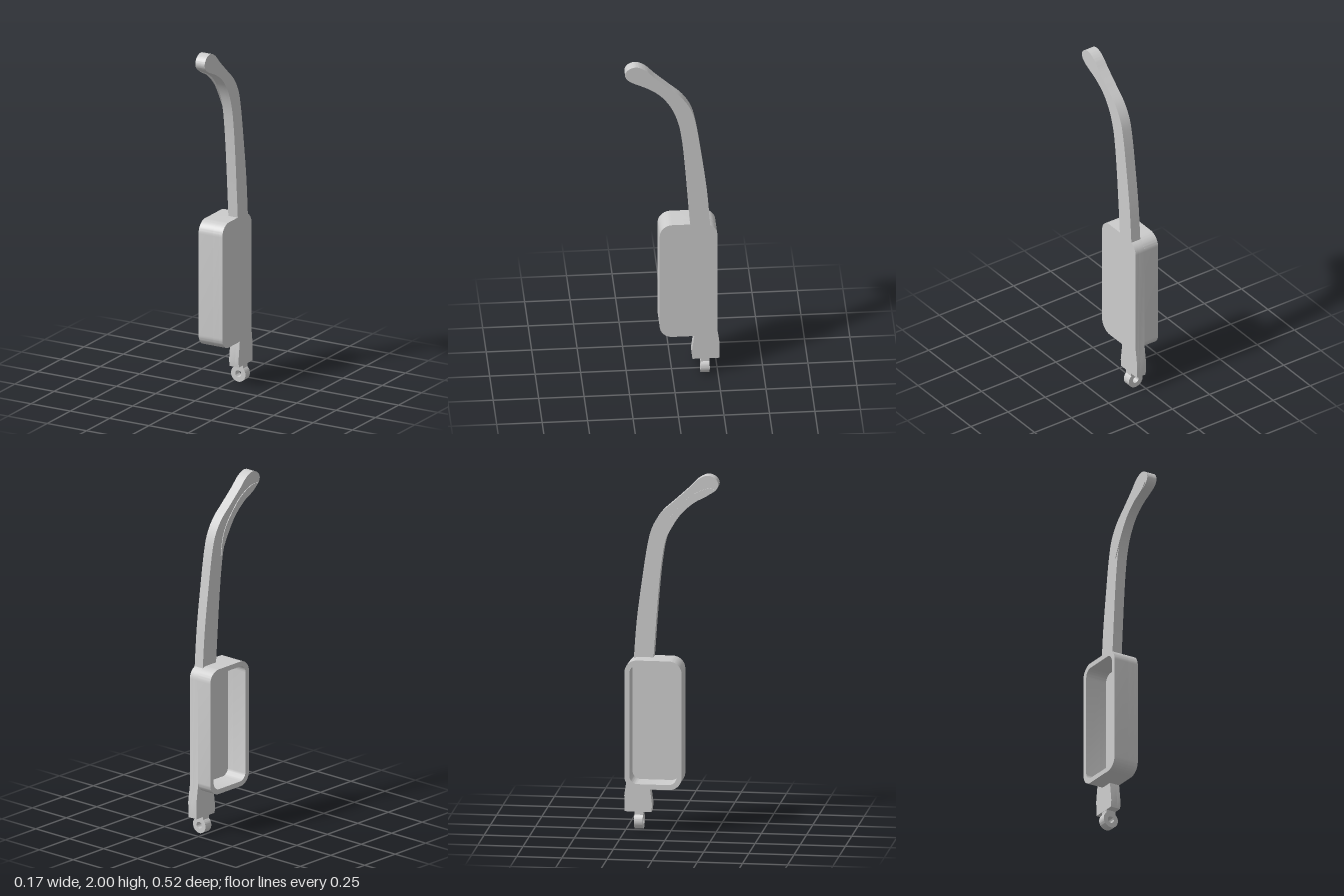
import * as THREE from 'three';
import { toCreasedNormals } from 'three/addons/utils/BufferGeometryUtils.js';

const grey = new THREE.MeshStandardMaterial({ color: 0xcccccc });
grey.name = 'plain grey';

const vec = (pts) => pts.map(([z, y]) => new THREE.Vector2(-z, y));

// Extrudes a side profile, drawn as (-z, y), from x0 to x1
function sidePart(name, shape, x0, x1) {
  const geo = new THREE.ExtrudeGeometry(shape, { depth: x1 - x0, bevelEnabled: false, curveSegments: 8 });
  geo.translate(0, 0, x0);
  geo.rotateY(Math.PI / 2);
  const mesh = new THREE.Mesh(toCreasedNormals(geo, 0.6), grey);
  mesh.name = name;
  return mesh;
}

// Rounded rectangle in (-z, y)
function roundedRect(path, u0, u1, y0, y1, r) {
  path.moveTo(u0 + r, y0);
  path.lineTo(u1 - r, y0);
  path.absarc(u1 - r, y0 + r, r, -Math.PI / 2, 0);
  path.lineTo(u1, y1 - r);
  path.absarc(u1 - r, y1 - r, r, 0, Math.PI / 2);
  path.lineTo(u0 + r, y1);
  path.absarc(u0 + r, y1 - r, r, Math.PI / 2, Math.PI);
  path.lineTo(u0, y0 + r);
  path.absarc(u0 + r, y0 + r, r, Math.PI, Math.PI * 1.5);
  return path;
}

const cavity = () => roundedRect(new THREE.Path(), -0.042, 0.219, 0.275, 0.942, 0.045);

// Lower tab, housing back and curved arm in one outline
function bodyOutline() {
  const body = new THREE.Shape();
  body.moveTo(0.11, 0.1);
  body.lineTo(0.258, 0.1);
  body.lineTo(0.26, 0.19);
  body.lineTo(0.247, 0.28);
  body.lineTo(0.247, 0.9);
  body.quadraticCurveTo(0.245, 0.94, 0.207, 0.962);
  body.splineThru(vec([
    [-0.19, 1.184], [-0.159, 1.423], [-0.132, 1.6], [-0.105, 1.703], [-0.055, 1.785],
    [0.02, 1.855], [0.095, 1.924], [0.148, 1.977], [0.2, 2.0], [0.245, 1.983], [0.26, 1.945],
    [0.23, 1.906], [0.127, 1.854], [0.055, 1.797], [0.0, 1.715], [-0.034, 1.62],
    [-0.053, 1.51], [-0.067, 1.38], [-0.08, 1.22], [-0.098, 0.97],
  ]));
  body.lineTo(0.0, 0.97);
  body.absarc(0.0, 0.9, 0.07, Math.PI / 2, Math.PI);
  body.lineTo(-0.07, 0.317);
  body.absarc(0.0, 0.317, 0.07, Math.PI, Math.PI * 1.5);
  body.lineTo(0.12, 0.247);
  body.lineTo(0.106, 0.14);
  return body;
}

export function createModel() {
  const group = new THREE.Group();
  group.name = 'templeArm';

  // Body: closed outer skin, then a thicker layer pierced by the cavity
  group.add(sidePart('bodySkin', bodyOutline(), 0.045, 0.067));
  const core = bodyOutline();
  core.holes.push(cavity());
  group.add(sidePart('bodyCore', core, 0.007, 0.045));

  // Housing wall around the open side
  const wall = roundedRect(new THREE.Shape(), -0.07, 0.247, 0.247, 0.97, 0.07);
  wall.holes.push(cavity());
  group.add(sidePart('housingWall', wall, -0.084, 0.007));

  // Thin pad on the inner face of the hook
  const pad = new THREE.Shape();
  pad.moveTo(0.06, 1.58);
  pad.splineThru(vec([[-0.045, 1.68], [0.0, 1.77], [0.095, 1.875], [0.19, 1.925], [0.243, 1.925]]));
  pad.splineThru(vec([[0.2, 1.887], [0.125, 1.845], [0.052, 1.777], [-0.004, 1.69], [-0.06, 1.58]]));
  group.add(sidePart('earPad', pad, 0.003, 0.0075));

  // Hinge eye with its short neck
  const eye = new THREE.Shape();
  eye.absarc(0.036, 0.046, 0.046, 0, Math.PI * 2);
  const hole = new THREE.Path();
  hole.absarc(0.036, 0.046, 0.019, 0, Math.PI * 2);
  eye.holes.push(hole);
  const eyeGeo = new THREE.ExtrudeGeometry(eye, { depth: 0.048, bevelEnabled: false, curveSegments: 32 });
  const hinge = new THREE.Mesh(toCreasedNormals(eyeGeo, 0.6), grey);
  hinge.name = 'hingeEye';
  hinge.position.z = -0.204;
  group.add(hinge);

  const neck = new THREE.Mesh(new THREE.BoxGeometry(0.058, 0.035, 0.047), grey);
  neck.name = 'hingeNeck';
  neck.position.set(0.037, 0.0865, -0.18);
  group.add(neck);

  return group;
}
